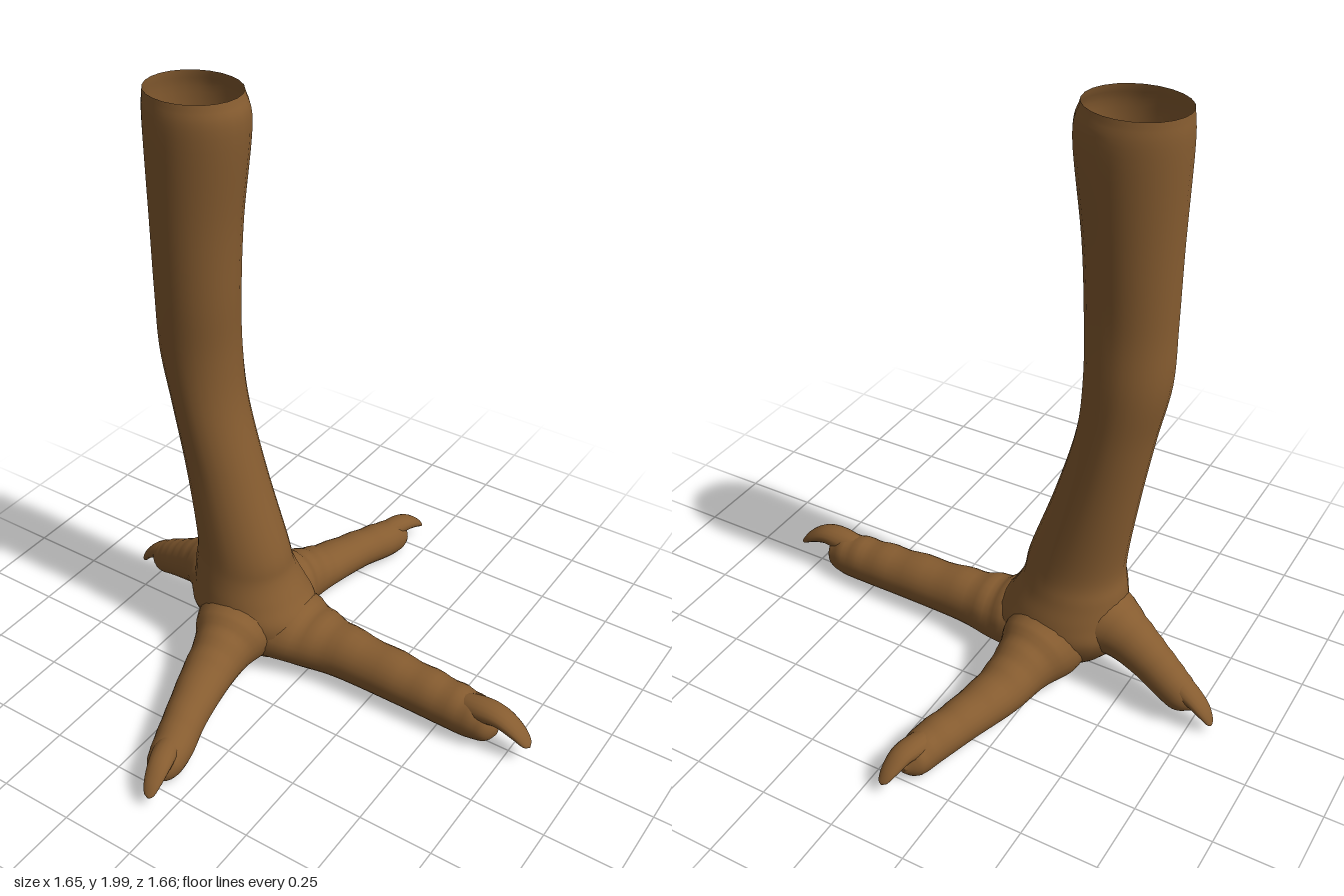
import * as THREE from 'three';

const skin = new THREE.MeshStandardMaterial({ color: 0x865c30, side: THREE.DoubleSide });
skin.name = 'brown skin';

const UP = new THREE.Vector3(0, 1, 0);

// Smooth loft through sections [x, y, z, halfWidth, halfHeight].
// Upright lofts keep level rings (width along z, height along x); others follow the path.
function loft(name, sections, { upright = false, openEnd = false, ridges = 0, sides = 24, steps = 6 } = {}) {
  const path = new THREE.CatmullRomCurve3(sections.map(s => new THREE.Vector3(s[0], s[1], s[2])), false, 'catmullrom');
  const size = new THREE.CatmullRomCurve3(sections.map(s => new THREE.Vector3(s[3], s[4], 0)), false, 'catmullrom');
  const rings = (sections.length - 1) * steps;
  const pos = [], index = [];
  for (let i = 0; i <= rings; i++) {
    const t = i / rings;
    const c = path.getPoint(t), r = size.getPoint(t);
    const dir = path.getTangent(t);
    const a = upright ? new THREE.Vector3(0, 0, 1) : UP.clone().cross(dir).normalize();
    const b = upright ? new THREE.Vector3(1, 0, 0) : dir.clone().cross(a).normalize();
    for (let j = 0; j < sides; j++) {
      const ang = (j / sides) * Math.PI * 2;
      // scale-like ridges only across the upper side
      const k = 1 + ridges * Math.max(0, Math.sin(ang)) * Math.sin(t * Math.PI * 22);
      const p = c.clone()
        .addScaledVector(a, Math.cos(ang) * Math.max(r.x, 0.002) * k)
        .addScaledVector(b, Math.sin(ang) * Math.max(r.y, 0.002) * k);
      pos.push(p.x, p.y, p.z);
    }
  }
  for (let i = 0; i < rings; i++) {
    for (let j = 0; j < sides; j++) {
      const p = i * sides + j, q = i * sides + (j + 1) % sides;
      index.push(p, q, p + sides, q, q + sides, p + sides);
    }
  }
  // close the ends with fans
  const last = rings * sides;
  for (let j = 1; j < sides - 1; j++) {
    index.push(0, j + 1, j);
    if (!openEnd) index.push(last, last + j, last + j + 1);
  }
  const geo = new THREE.BufferGeometry();
  geo.setAttribute('position', new THREE.Float32BufferAttribute(pos, 3));
  geo.setIndex(index);
  geo.computeVertexNormals();
  const mesh = new THREE.Mesh(geo, skin);
  mesh.name = name;
  return mesh;
}

function toe(name, pad, claw, ridges) {
  const g = new THREE.Group();
  g.name = name;
  g.add(loft(name + 'Pad', pad, { ridges }), loft(name + 'Claw', claw, { sides: 16 }));
  return g;
}

export function createModel() {
  const foot = new THREE.Group();
  foot.name = 'birdFoot';

  // Palm flowing up into the open-topped shank
  foot.add(loft('shank', [
    [-0.20, 0.025, 0, 0.06, 0.08],
    [-0.20, 0.05, 0, 0.12, 0.15],
    [-0.225, 0.12, 0, 0.165, 0.21],
    [-0.25, 0.20, 0, 0.185, 0.23],
    [-0.265, 0.27, 0, 0.175, 0.20],
    [-0.28, 0.35, 0.005, 0.155, 0.175],
    [-0.285, 0.45, 0.01, 0.14, 0.16],
    [-0.345, 0.70, 0.005, 0.128, 0.135],
    [-0.400, 0.95, 0.005, 0.128, 0.122],
    [-0.428, 1.15, 0.005, 0.130, 0.133],
    [-0.425, 1.35, 0.012, 0.130, 0.138],
    [-0.420, 1.60, 0.008, 0.138, 0.146],
    [-0.408, 1.90, 0, 0.147, 0.168],
    [-0.415, 2.00, 0, 0.135, 0.155],
  ], { upright: true, openEnd: true }));

  // Long middle toe
  foot.add(toe('middleToe', [
    [-0.28, 0.15, 0, 0.12, 0.10],
    [-0.14, 0.14, -0.005, 0.155, 0.12],
    [-0.02, 0.12, -0.01, 0.125, 0.105],
    [0.12, 0.113, -0.01, 0.092, 0.094],
    [0.35, 0.105, -0.008, 0.083, 0.085],
    [0.52, 0.097, -0.006, 0.078, 0.081],
    [0.62, 0.09, -0.004, 0.07, 0.077],
    [0.675, 0.078, 0, 0.052, 0.056],
    [0.705, 0.075, 0, 0.012, 0.018],
  ], [
    [0.54, 0.115, 0, 0.035, 0.045],
    [0.64, 0.138, 0, 0.045, 0.042],
    [0.71, 0.142, 0, 0.043, 0.032],
    [0.77, 0.115, 0, 0.037, 0.022],
    [0.81, 0.082, 0, 0.025, 0.011],
    [0.822, 0.068, 0, 0.004, 0.003],
  ], 0.045));

  // Mirrored pair of side toes
  for (const [name, s] of [['frontSideToe', 1], ['rearSideToe', -1]]) {
    foot.add(toe(name, [
      [-0.25, 0.18, 0.03 * s, 0.14, 0.11],
      [-0.235, 0.155, 0.14 * s, 0.140, 0.125],
      [-0.22, 0.132, 0.24 * s, 0.100, 0.100],
      [-0.20, 0.108, 0.36 * s, 0.084, 0.078],
      [-0.155, 0.095, 0.52 * s, 0.070, 0.068],
      [-0.115, 0.082, 0.64 * s, 0.066, 0.067],
      [-0.10, 0.068, 0.715 * s, 0.052, 0.054],
      [-0.093, 0.066, 0.755 * s, 0.012, 0.016],
    ], [
      [-0.125, 0.10, 0.60 * s, 0.03, 0.035],
      [-0.105, 0.112, 0.68 * s, 0.040, 0.036],
      [-0.085, 0.112, 0.74 * s, 0.038, 0.028],
      [-0.073, 0.088, 0.79 * s, 0.030, 0.018],
      [-0.066, 0.063, 0.82 * s, 0.018, 0.009],
      [-0.065, 0.053, 0.828 * s, 0.003, 0.003],
    ], 0.03));
  }

  // Short raised hind toe
  foot.add(toe('hindToe', [
    [-0.27, 0.24, 0, 0.12, 0.10],
    [-0.40, 0.235, -0.01, 0.115, 0.115],
    [-0.49, 0.215, -0.03, 0.085, 0.090],
    [-0.58, 0.175, -0.05, 0.070, 0.074],
    [-0.66, 0.135, -0.072, 0.062, 0.066],
    [-0.72, 0.10, -0.085, 0.050, 0.055],
    [-0.757, 0.08, -0.09, 0.012, 0.016],
  ], [
    [-0.62, 0.155, -0.07, 0.030, 0.035],
    [-0.69, 0.145, -0.08, 0.042, 0.038],
    [-0.745, 0.122, -0.088, 0.039, 0.028],
    [-0.79, 0.085, -0.092, 0.032, 0.018],
    [-0.815, 0.05, -0.094, 0.018, 0.009],
    [-0.82, 0.037, -0.094, 0.003, 0.003],
  ], 0.02));

  return foot;
}
